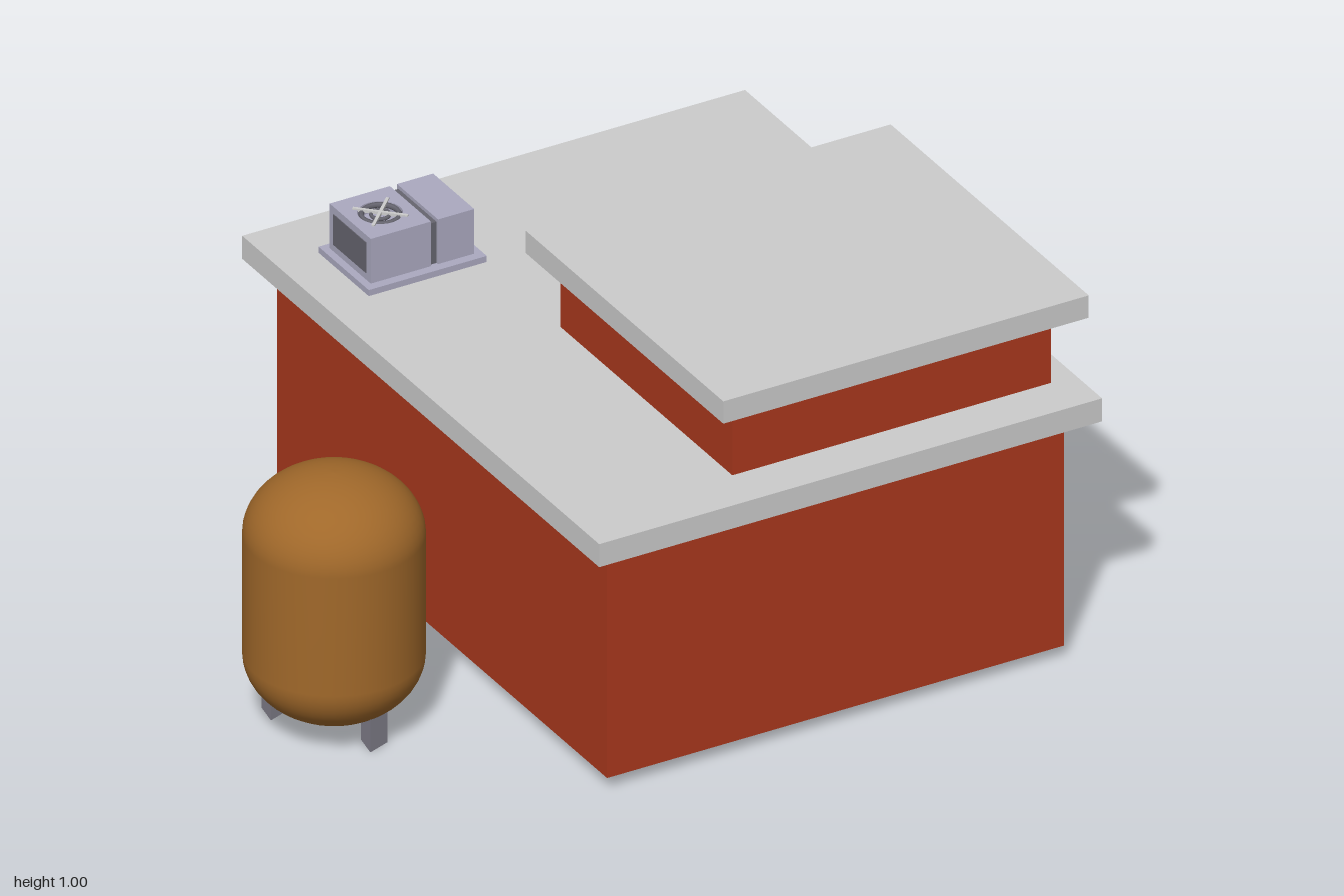
import * as THREE from 'three';

const mat = (color) => new THREE.MeshStandardMaterial({ color });

export function createModel() {
  const model = new THREE.Group();
  model.name = 'building';
  const grey = mat(0xcccccc);
  const brick = mat(0xaa381d);
  const metal = mat(0xaba9c0);
  const dark = mat(0x66656f);
  const rust = mat(0xa0682a);

  const add = (name, geometry, material, parent = model) => {
    const mesh = new THREE.Mesh(geometry, material);
    mesh.name = name;
    parent.add(mesh);
    return mesh;
  };
  // Box given by its limits on each axis
  const box = (name, [x0, x1], [y0, y1], [z0, z1], material, parent) => {
    const mesh = add(name, new THREE.BoxGeometry(x1 - x0, y1 - y0, z1 - z0), material, parent);
    mesh.position.set((x0 + x1) / 2, (y0 + y1) / 2, (z0 + z1) / 2);
    return mesh;
  };

  // Two stacked storeys with overhanging roof slabs
  box('lowerWalls', [-0.36, 0.93], [0.035, 0.68], [-0.805, 0.805], brick);
  box('lowerRoof', [-0.42, 1], [0.68, 0.745], [-0.87, 0.87], grey);
  box('upperWalls', [0.03, 0.93], [0.745, 0.94], [-0.095, 0.742], brick);
  box('upperRoof', [-0.032, 1], [0.94, 1.003], [-0.16, 0.805], grey);

  // Rooftop cooling unit
  const unit = new THREE.Group();
  unit.name = 'coolingUnit';
  model.add(unit);
  box('unitBase', [-0.3, 0.033], [0.745, 0.762], [-0.705, -0.46], metal, unit);
  box('compressorBox', [-0.09, 0.012], [0.762, 0.888], [-0.685, -0.485], metal, unit);
  box('connector', [-0.112, -0.09], [0.762, 0.878], [-0.678, -0.492], dark, unit);

  // Fan housing with a round opening in its top
  const outline = new THREE.Shape();
  outline.moveTo(-0.085, -0.1).lineTo(0.085, -0.1).lineTo(0.085, 0.1).lineTo(-0.085, 0.1).closePath();
  outline.holes.push(new THREE.Path().absarc(0, 0, 0.056, 0, Math.PI * 2, true));
  const housing = new THREE.ExtrudeGeometry(outline, { depth: 0.03, bevelEnabled: false, curveSegments: 16 });
  housing.rotateX(-Math.PI / 2);
  add('fanHousingTop', housing, metal, unit).position.set(-0.195, 0.858, -0.585);
  box('fanHousing', [-0.28, -0.11], [0.762, 0.858], [-0.685, -0.485], metal, unit);
  box('sideGrille', [-0.282, -0.278], [0.782, 0.868], [-0.665, -0.505], dark, unit);

  // Fan rings and crossed guard bars
  const fan = new THREE.Group();
  fan.name = 'fan';
  fan.position.set(-0.195, 0.888, -0.585);
  unit.add(fan);
  for (const [radius, tube] of [[0.047, 0.007], [0.023, 0.005]]) {
    add('fanRing', new THREE.TorusGeometry(radius, tube, 6, 24).rotateX(Math.PI / 2), dark, fan).position.y = -0.005;
  }
  for (const angle of [Math.PI / 4, -Math.PI / 4]) {
    add('guardBar', new THREE.BoxGeometry(0.14, 0.008, 0.008), grey, fan).rotation.y = angle;
  }

  // Storage tank: a cylinder with flattened dome ends
  const tank = new THREE.Group();
  tank.name = 'storageTank';
  tank.position.set(-0.775, 0, 0.19);
  model.add(tank);
  const R = 0.225, dome = 0.17, low = 0.208, high = 0.54, steps = 14;
  const profile = [];
  for (const [centre, start] of [[low, -Math.PI / 2], [high, 0]]) {
    for (let i = 0; i <= steps; i++) {
      const a = start + (i / steps) * Math.PI / 2;
      profile.push(new THREE.Vector2(Math.max(0, R * Math.cos(a)), centre + dome * Math.sin(a)));
    }
  }
  add('tankShell', new THREE.LatheGeometry(profile, 48), rust, tank);

  // Three triangular legs
  const legMat = dark.clone();
  legMat.color.set(0x85838f);
  legMat.flatShading = true;
  for (const [x, z] of [[-0.1, -0.122], [0.032, 0.135], [0.13, -0.12]]) {
    const leg = new THREE.CylinderGeometry(0.038, 0.038, 0.13, 3, 1, false, THREE.MathUtils.degToRad(80));
    add('tankLeg', leg, legMat, tank).position.set(x, 0.065, z);
  }
  return model;
}
